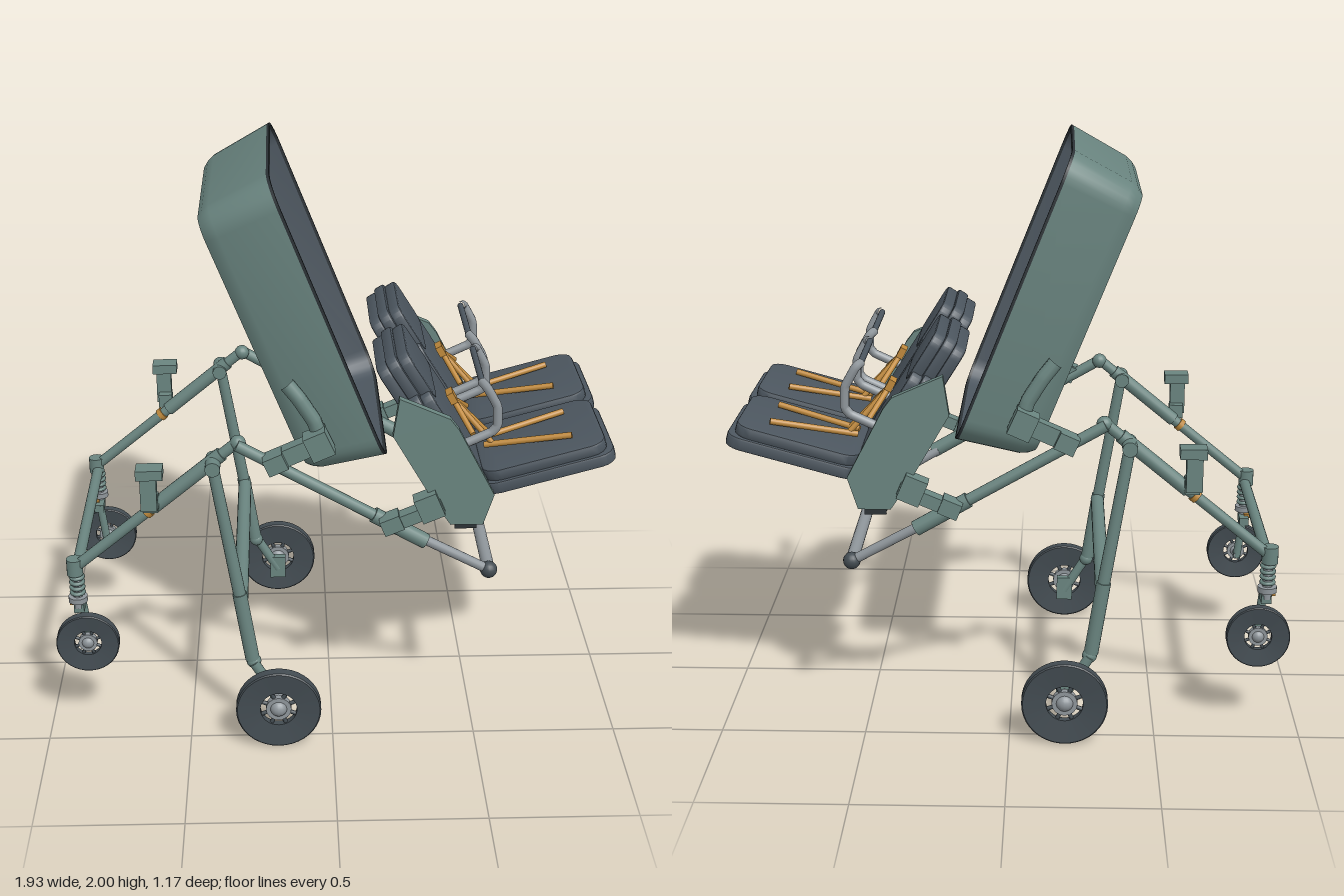
import * as THREE from 'three';
import { toCreasedNormals } from 'three/addons/utils/BufferGeometryUtils.js';

const mat = (name, color) => Object.assign(new THREE.MeshStandardMaterial({ color }), { name });
const V = (x, y, z = 0) => new THREE.Vector3(x, y, z);

// points of a rounded rectangle, counter-clockwise
function roundRect(L, W, r, seg = 6) {
  const pts = [];
  [[1, 1], [-1, 1], [-1, -1], [1, -1]].forEach(([sx, sy], k) => {
    for (let i = 0; i <= seg; i++) {
      const a = (k + i / seg) * Math.PI / 2;
      pts.push(new THREE.Vector2(sx * (L / 2 - r) + r * Math.cos(a), sy * (W / 2 - r) + r * Math.sin(a)));
    }
  });
  return pts;
}

// skin through rounded rectangles [height, length, width, radius], with an optional end cap
function loft(sections, cap) {
  const rings = sections.map(([h, L, W, r]) => roundRect(L, W, r).map(p => V(p.x, h, -p.y)));
  const out = [], n = rings[0].length;
  const tri = (...ps) => ps.forEach(p => out.push(p.x, p.y, p.z));
  for (let j = 0; j < n; j++) {
    const k = (j + 1) % n;
    for (let i = 0; i + 1 < rings.length; i++) {
      const a = rings[i], b = rings[i + 1];
      tri(a[j], a[k], b[k]);
      tri(a[j], b[k], b[j]);
    }
    if (cap === 'start') tri(V(0, sections[0][0]), rings[0][k], rings[0][j]);
    if (cap === 'end') tri(V(0, sections.at(-1)[0]), rings.at(-1)[j], rings.at(-1)[k]);
  }
  const g = new THREE.BufferGeometry();
  g.setAttribute('position', new THREE.Float32BufferAttribute(out, 3));
  return toCreasedNormals(g, 0.5);
}

export function createModel() {
  const root = new THREE.Group();
  root.name = 'twinStroller';
  const green = mat('sage green', 0x6a8580), dark = mat('slate fabric', 0x4c565f);
  const rubber = mat('tyre grey', 0x434c52), black = mat('black trim', 0x2c3236);
  const silver = mat('silver', 0x8f969b), orange = mat('amber', 0xc08a3c);

  const add = (name, geo, m, x = 0, y = 0, z = 0) => {
    const o = new THREE.Mesh(geo, m);
    o.name = name;
    o.position.set(x, y, z);
    root.add(o);
    return o;
  };
  const rod = (name, a, b, r, m, r2 = r) => {
    const o = add(name, new THREE.CylinderGeometry(r2, r, a.distanceTo(b), 16), m);
    o.position.copy(a).add(b).multiplyScalar(0.5);
    o.quaternion.setFromUnitVectors(V(0, 1, 0), b.clone().sub(a).normalize());
  };
  const box = (name, x, y, z, w, h, d, m, angle = 0) => {
    add(name, new THREE.BoxGeometry(w, h, d), m, x, y, z).rotation.z = angle;
  };
  const ball = (name, x, y, z, r, m) => add(name, new THREE.SphereGeometry(r, 16, 12), m, x, y, z);
  const bent = (name, pts, r, m) => add(name,
    new THREE.TubeGeometry(new THREE.CatmullRomCurve3(pts, false, 'catmullrom', 0.15), 32, r, 10), m);
  // padded panel with rounded corners
  const pad = (name, x, y, z, L, W, t, r, angle, m) => {
    const b = 0.008;
    const g = new THREE.ExtrudeGeometry(new THREE.Shape(roundRect(L - 2 * b, W - 2 * b, r, 4)),
      { depth: t - 2 * b, bevelSize: b, bevelThickness: b, bevelSegments: 2 });
    g.translate(0, 0, b - t / 2).rotateX(-Math.PI / 2);
    add(name, toCreasedNormals(g, 0.5), m, x, y, z).rotation.z = angle;
  };

  // carrycot: outer shell, rim and lining
  const cot = [
    ['cotShell', loft([[-0.27, 0.945, 0.71, 0.07], [-0.25, 0.975, 0.74, 0.08], [-0.222, 0.998, 0.765, 0.09], [-0.01, 1.053, 0.82, 0.1]], 'start'), green],
    ['cotRim', loft([[-0.01, 1.053, 0.82, 0.1], [0, 1.055, 0.822, 0.1], [0, 1.035, 0.802, 0.09], [-0.01, 1.033, 0.8, 0.09]]), black],
    ['cotLining', loft([[-0.01, 1.033, 0.8, 0.09], [-0.22, 0.972, 0.738, 0.075], [-0.25, 0.935, 0.7, 0.06]], 'end'), dark],
  ];
  for (const [name, g, m] of cot) add(name, g, m, -0.005, 1.51, 0).rotation.z = -1.192;

  // wheel with an open ring around the hub
  function wheel(name, x, y, z, R, w) {
    const ri = R * 0.43;
    const p = [[ri, -w * 0.3], [R * 0.97, -w / 2], [R, -w * 0.4], [R, w * 0.4], [R * 0.97, w / 2], [ri, w * 0.3], [ri, -w * 0.3]]
      .map(q => new THREE.Vector2(...q));
    add(name, toCreasedNormals(new THREE.LatheGeometry(p, 40).rotateX(Math.PI / 2), 0.5), rubber, x, y, z);
    rod(name + 'HubDisc', V(x, y, z - w * 0.28), V(x, y, z + w * 0.28), R * 0.3, silver);
    for (let i = 0; i < 8; i++) {
      const a = (i + 0.5) * Math.PI / 4;
      rod(name + 'Spoke', V(x, y, z), V(x + ri * Math.cos(a), y + ri * Math.sin(a), z), R * 0.05, rubber);
    }
    ball(name + 'Hub', x, y, z, R * 0.21, silver);
  }

  // outline of the seat side plate
  const plate = new THREE.Shape([[0.22, 1.275], [0.39, 1.2], [0.42, 1.16], [0.545, 0.92], [0.51, 0.81], [0.4, 0.81], [0.345, 0.89], [0.2, 1.14]]
    .map(q => new THREE.Vector2(...q)).reverse());
  const plateGeo = new THREE.ExtrudeGeometry(plate, { depth: 0.03, bevelEnabled: false });

  for (const s of [1, -1]) {
    // front wheel arm
    const z = s * 0.405;
    rod('frontArm', V(-0.88, 0.64, z), V(-0.32, 1.1, z), 0.019, green);
    rod('frontArmSleeve', V(-0.6, 0.87, z), V(-0.37, 1.06, z), 0.025, green);
    rod('armRing', V(-0.632, 0.844, z), V(-0.618, 0.856, z), 0.024, orange);
    ball('armJoint', -0.315, 1.1, z, 0.027, green);
    box('holderClamp', -0.61, 0.9, s * 0.44, 0.05, 0.05, 0.06, green);
    box('holderBody', -0.615, 0.95, s * 0.46, 0.055, 0.13, 0.04, green);
    box('holderTop', -0.61, 1.022, s * 0.46, 0.09, 0.035, 0.065, green);

    // caster with suspension
    rod('casterHead', V(-0.885, 0.61, z), V(-0.885, 0.67, z), 0.028, green);
    rod('casterStem', V(-0.88, 0.48, z), V(-0.88, 0.62, z), 0.017, silver);
    for (let i = 0; i < 4; i++) {
      const ring = add('casterSpring', new THREE.TorusGeometry(0.021, 0.007, 8, 16), green, -0.88, 0.54 + i * 0.02, z);
      ring.rotation.x = Math.PI / 2;
    }
    rod('casterCollar', V(-0.88, 0.505, z), V(-0.88, 0.525, z), 0.033, silver);
    box('casterLatch', -0.895, 0.492, s * 0.385, 0.03, 0.014, 0.03, orange);
    box('casterYoke', -0.878, 0.478, s * 0.38, 0.035, 0.03, 0.075, green);
    rod('casterFork', V(-0.875, 0.49, s * 0.357), V(-0.855, 0.33, s * 0.357), 0.015, green);
    rod('casterAxle', V(-0.855, 0.34, s * 0.345), V(-0.855, 0.34, z), 0.012, silver);
    wheel('casterWheel', -0.855, 0.34, s * 0.407, 0.11, 0.036);

    // main leg and large wheel
    const kz = s * 0.452;
    rod('legPivot', V(-0.4, 1.03, s * 0.37), V(-0.4, 1.03, s * 0.47), 0.026, green);
    rod('leg', V(-0.4, 1.03, s * 0.44), V(-0.315, 0.52, kz), 0.02, green, 0.022);
    rod('legLower', V(-0.32, 0.55, kz), V(-0.28, 0.29, kz), 0.025, green);
    ball('legFoot', -0.275, 0.28, kz, 0.026, green);
    rod('wheelArm', V(-0.275, 0.28, s * 0.465), V(-0.19, 0.14, s * 0.465), 0.018, green);
    box('axleBlock', -0.19, 0.15, s * 0.465, 0.06, 0.09, 0.03, green);
    rod('axle', V(-0.19, 0.15, s * 0.45), V(-0.19, 0.15, s * 0.56), 0.016, silver);
    wheel('mainWheel', -0.19, 0.15, s * 0.552, 0.148, 0.042);

    // main beam and handle tube
    const bz = s * 0.425;
    rod('mainBeam', V(-0.32, 1.1, bz), V(0.2, 0.8, bz), 0.02, green);
    rod('beamSleeve', V(0.14, 0.835, bz), V(0.32, 0.73, bz), 0.027, green);
    rod('handleTube', V(0.3, 0.738, s * 0.41), V(0.545, 0.597, s * 0.39), 0.017, silver);
    ball('handleEnd', 0.545, 0.597, s * 0.39, 0.03, rubber);

    // carrycot mount
    box('cotMount', -0.12, 1.08, s * 0.435, 0.22, 0.06, 0.05, green, 0.42);
    box('cotMountClamp', -0.19, 1.05, s * 0.455, 0.07, 0.06, 0.06, green, 0.42);
    box('cotMountBlock', -0.045, 1.11, s * 0.44, 0.08, 0.09, 0.07, green, 0.42);
    bent('cotArm', [V(-0.15, 1.31, s * 0.405), V(-0.11, 1.26, s * 0.412), V(-0.06, 1.18, s * 0.415), V(-0.03, 1.09, s * 0.415)], 0.026, green);

    // seat mount and side plate
    box('seatMount', 0.27, 0.845, s * 0.455, 0.22, 0.045, 0.05, green, 0.4);
    box('seatMountClamp', 0.2, 0.82, s * 0.455, 0.07, 0.055, 0.065, green, 0.4);
    box('seatMountBlock', 0.325, 0.885, s * 0.46, 0.08, 0.09, 0.06, green, 0.4);
    add('sidePlate', plateGeo, green, 0, 0, s * 0.445 - 0.015);

    // seat cushions
    const c = s * 0.216;
    pad('seatBase', 0.737, 0.973, c, 0.465, 0.408, 0.045, 0.05, 0.27, dark);
    pad('seatCushion', 0.722, 1.012, c, 0.43, 0.39, 0.042, 0.05, 0.27, dark);
    for (let i = -1; i <= 1; i++) {
      const dx = i * 0.034, dy = i * 0.021, inset = Math.abs(i) * 0.02;
      pad('backCushion', 0.382 + dx, 1.065 + dy, c, 0.44 - inset, 0.4 - inset, 0.042, 0.04, 2.13, dark);
      pad('headrest', 0.25 + dx, 1.284 + dy, c, 0.22 - inset, 0.335 - inset / 2, 0.042, 0.04, 2.13, dark);
    }

    // harness
    box('buckle', 0.415, 1.18, c, 0.025, 0.04, 0.055, orange, 0.5);
    for (const t of [1, -1]) {
      rod('shoulderStrap', V(0.42, 1.17, c), V(0.48, 1.09, c + t * 0.12), 0.01, orange);
      rod('crotchStrap', V(0.42, 1.17, c), V(0.56, 1.015, c + t * 0.035), 0.01, orange);
      rod('lapStrap', V(0.53, 1.008, c + t * 0.03), V(0.82, 1.073, c + t * 0.1), 0.011, orange);
      // bumper bar arm
      const a = c + t * 0.18;
      bent('bumperArm', [V(0.42, 1.075, a), V(0.46, 1.09, a), V(0.535, 1.125, a), V(0.553, 1.15, a), V(0.55, 1.22, a), V(0.515, 1.285, a), V(0.5, 1.293, a - t * 0.035)], 0.016, silver);
    }
    rod('bumperGrip', V(0.5, 1.293, c - 0.15), V(0.5, 1.293, c + 0.15), 0.011, dark);
    // end cap of the seat cross pan
    box('seatPanEnd', 0.455, 0.805, s * 0.426, 0.075, 0.05, 0.008, black);
  }

  // cross members
  rod('casterCrossbar', V(-0.88, 0.62, -0.4), V(-0.88, 0.62, 0.4), 0.02, green);
  rod('legCrossbar', V(-0.315, 0.53, -0.45), V(-0.315, 0.53, 0.45), 0.025, green);
  rod('handleGrip', V(0.545, 0.597, -0.37), V(0.545, 0.597, 0.37), 0.022, silver);
  pad('seatCrossPan', 0.455, 0.833, 0, 0.08, 0.845, 0.104, 0.025, 0, green);
  box('seatDivider', 0.4, 1.08, 0, 0.05, 0.4, 0.03, dark, 0.56);
  return root;
}
